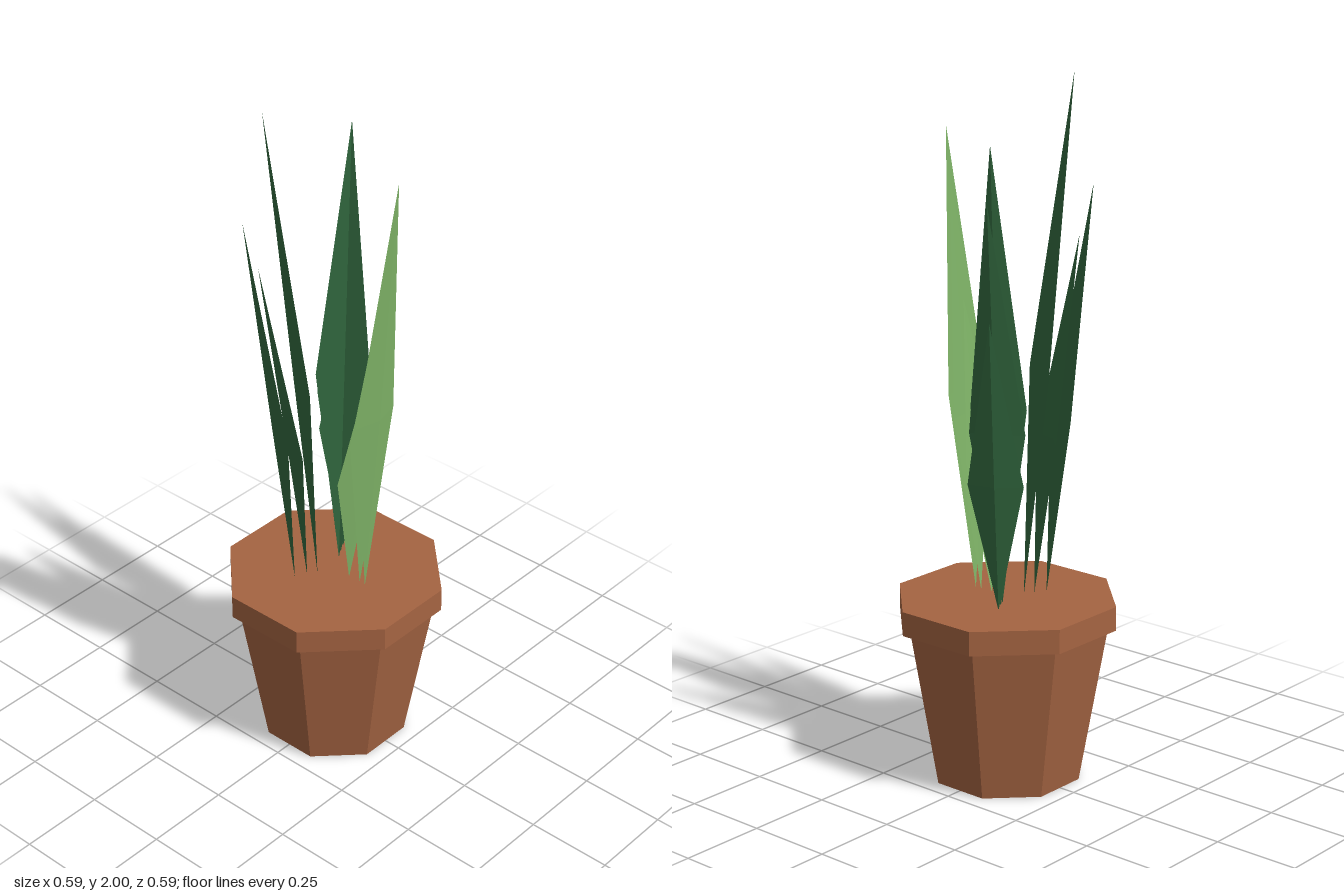
import * as THREE from 'three';

const material = (name, color, extra = {}) => {
  const m = new THREE.MeshStandardMaterial({ color, flatShading: true, ...extra });
  m.name = name;
  return m;
};

export function createModel() {
  const terracotta = material('terracotta', 0xa56442);
  const lightGreen = material('lightGreen', 0x80b568, { side: THREE.DoubleSide });
  const darkGreen = material('darkGreen', 0x32693f, { side: THREE.DoubleSide });
  const model = new THREE.Group();
  model.name = 'pottedPlant';

  // Octagonal frustum with flat sides facing the axes
  const octagon = (name, topApothem, bottomApothem, y0, y1) => {
    const k = 1 / Math.cos(Math.PI / 8);
    const geo = new THREE.CylinderGeometry(topApothem * k, bottomApothem * k, y1 - y0, 8);
    geo.rotateY(Math.PI / 8).translate(0, (y0 + y1) / 2, 0);
    const mesh = new THREE.Mesh(geo, terracotta);
    mesh.name = name;
    model.add(mesh);
  };
  octagon('potBody', 0.275, 0.2, 0, 0.46);
  octagon('potRim', 0.297, 0.297, 0.46, 0.53);

  // Folded kite blade leaning along +x; its edges curl towards the plant's middle
  const soilY = 0.525;
  const leafGeometry = (base, edge, tip, tipY) => {
    const midY = soilY + (tipY - soilY) * 0.44;
    const ridge = edge + 0.02;
    const half = 0.078;
    const geo = new THREE.BufferGeometry();
    geo.setAttribute('position', new THREE.Float32BufferAttribute([
      base, soilY, 0, ridge, midY, 0, tip, tipY, 0,
      edge, midY, half, edge, midY, -half,
    ], 3));
    geo.setIndex([0, 1, 3, 3, 1, 2, 0, 4, 1, 4, 2, 1]);
    const flat = geo.toNonIndexed();
    flat.computeVertexNormals();
    return flat;
  };

  // Each leaf: radius at base, at widest edges and at tip, then tip height
  const clusters = [
    { name: 'leftLeaves', angle: 0, mat: lightGreen, leaves: [
      [0.055, 0.08, 0.157, 1.36], [0.095, 0.125, 0.205, 1.69], [0.115, 0.145, 0.219, 1.84]] },
    { name: 'frontLeaves', angle: -120, mat: darkGreen, leaves: [
      [0.052, 0.096, 0.194, 2.0], [0.083, 0.118, 0.212, 1.55], [0.12, 0.16, 0.252, 1.69]] },
    { name: 'backLeaves', angle: 120, mat: darkGreen, leaves: [
      [0.06, 0.115, 0.228, 1.84], [0.085, 0.135, 0.271, 1.69], [0.118, 0.158, 0.245, 1.37]] },
  ];
  for (const { name, angle, mat, leaves } of clusters) {
    const group = new THREE.Group();
    group.name = name;
    group.rotation.y = THREE.MathUtils.degToRad(angle);
    for (const leaf of leaves) {
      const mesh = new THREE.Mesh(leafGeometry(...leaf), mat);
      mesh.name = 'leaf';
      group.add(mesh);
    }
    model.add(group);
  }
  return model;
}
